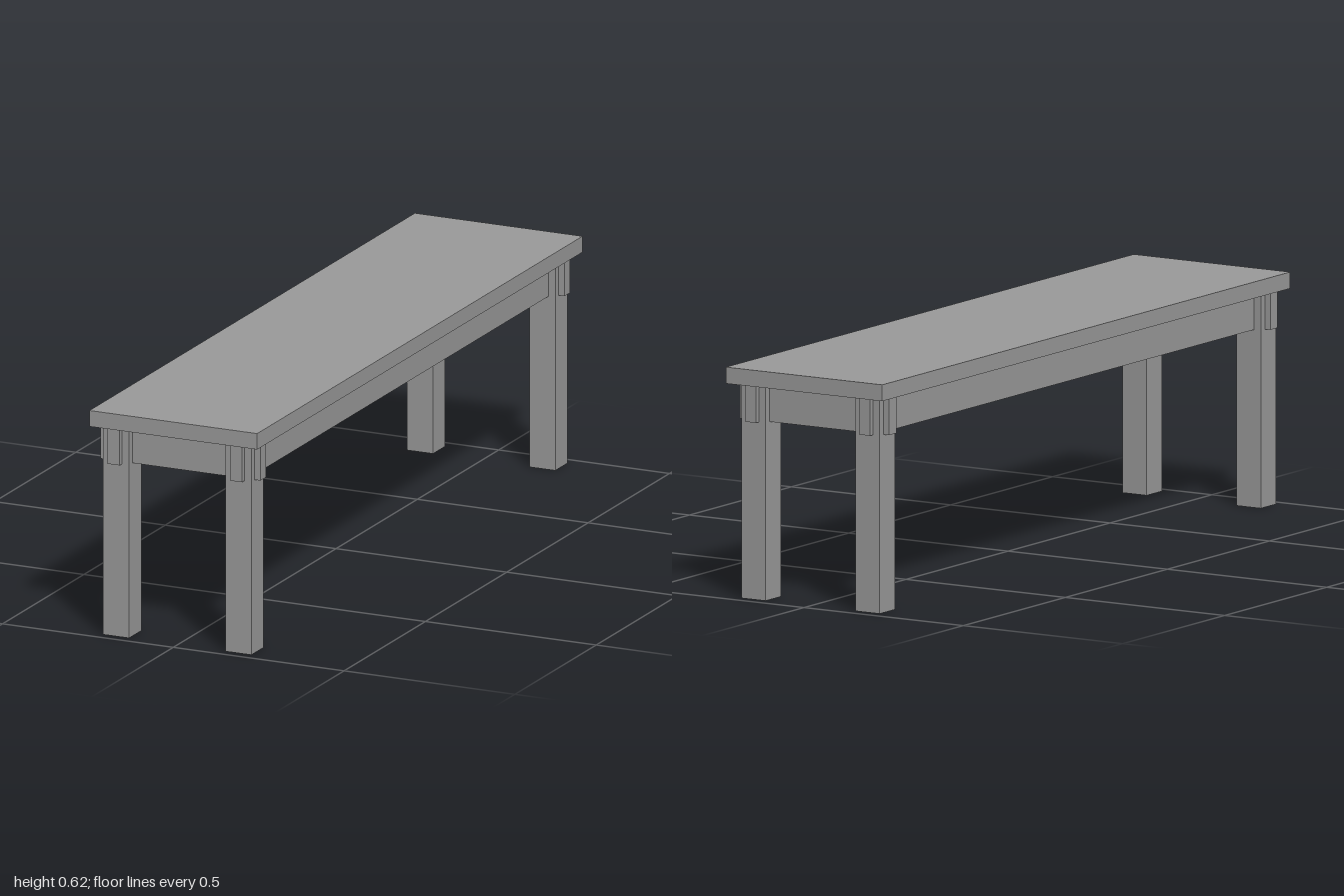
import * as THREE from 'three';

const LEG_X = 0.179, LEG_Z = 0.934; // leg centres
const APRON_Y = 0.478, SEAT_Y = 0.578, SEAT_TOP = 0.622;

export function createModel() {
  const bench = new THREE.Group();
  bench.name = 'bench';
  const material = new THREE.MeshStandardMaterial({ color: 0x9a9a9a });

  // Box standing between two heights
  function board(parent, name, width, depth, bottom, top, x, z) {
    const mesh = new THREE.Mesh(new THREE.BoxGeometry(width, top - bottom, depth), material);
    mesh.position.set(x, (bottom + top) / 2, z);
    mesh.name = name;
    parent.add(mesh);
  }

  // Seat plank
  board(bench, 'seat', 0.491, 2, SEAT_Y, SEAT_TOP, 0, 0);

  // Underframe, sitting very slightly off centre below the seat
  const frame = new THREE.Group();
  frame.name = 'frame';
  frame.position.set(-0.001, 0, 0.002);
  bench.add(frame);

  for (const s of [-1, 1]) {
    const side = s > 0 ? 'left' : 'right';
    const end = s > 0 ? 'front' : 'back';
    // Aprons run through the legs, their tenons showing on the outside
    board(frame, side + 'Apron', 0.035, 1.973, APRON_Y, SEAT_Y, s * LEG_X, 0);
    board(frame, end + 'Apron', 0.468, 0.035, APRON_Y, SEAT_Y, 0, s * LEG_Z);
    // Square legs
    for (const t of [-1, 1]) {
      board(frame, end + (t > 0 ? 'Left' : 'Right') + 'Leg', 0.076, 0.075, 0, SEAT_Y, t * LEG_X, s * LEG_Z);
    }
  }
  return bench;
}
